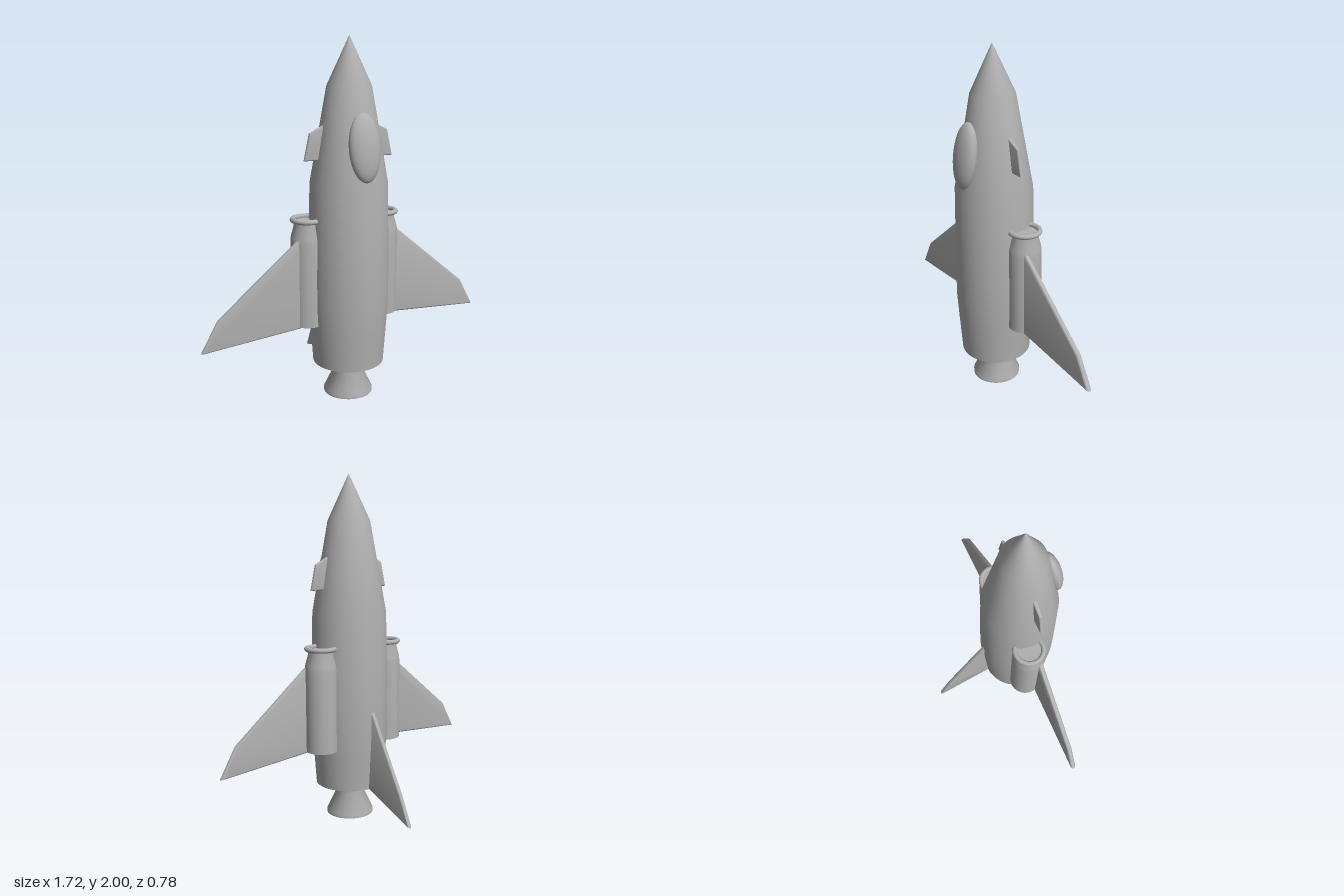
import * as THREE from 'three';
import { toCreasedNormals } from 'three/addons/utils/BufferGeometryUtils.js';

const AXIS_Z = 0.156;

export function createModel() {
  const model = new THREE.Group();
  model.name = 'rocketPlane';

  const hullGrey = new THREE.MeshStandardMaterial({ color: 0xb0b0b0 });
  hullGrey.name = 'hull grey';

  const add = (name, geometry, x, y, z) => {
    const mesh = new THREE.Mesh(geometry, hullGrey);
    mesh.name = name;
    mesh.position.set(x, y, z);
    model.add(mesh);
    return mesh;
  };

  // Turned part from [radius, height] pairs, listed from the bottom centre up
  const turned = (profile, segments = 64) =>
    toCreasedNormals(
      new THREE.LatheGeometry(profile.map(([r, y]) => new THREE.Vector2(r, y)), segments), 0.8);

  // Flat fin with rounded edges, centred on its own thickness
  const fin = (outline, thickness) => {
    const bevel = thickness * 0.45;
    const depth = thickness - 2 * bevel;
    const shape = new THREE.Shape(outline.map(([x, y]) => new THREE.Vector2(x, y)));
    const geometry = new THREE.ExtrudeGeometry(shape, {
      depth, bevelEnabled: true, bevelThickness: bevel,
      bevelSize: bevel, bevelOffset: -bevel, bevelSegments: 4,
    });
    geometry.translate(0, 0, -depth / 2);
    return toCreasedNormals(geometry, 0.7);
  };

  // Fuselage with pointed nose
  add('fuselage', turned([
    [0, 0.197], [0.2, 0.197], [0.214, 0.4], [0.224, 0.56], [0.223, 0.75],
    [0.214, 1.22], [0.121, 1.74], [0, 2],
  ]), 0, 0, AXIS_Z);

  // Hollow engine bell
  add('engineNozzle', turned([
    [0, 0.12], [0.07, 0.12], [0.128, 0], [0.138, 0.004], [0.138, 0.02],
    [0.083, 0.135], [0.1, 0.205],
  ]), 0, 0, AXIS_Z);

  // Cockpit canopy, leaning back along the nose
  const canopy = add('canopy', new THREE.SphereGeometry(1, 40, 28), 0, 1.43, 0.332);
  canopy.scale.set(0.09, 0.182, 0.05);
  canopy.rotation.x = -0.15;

  // Tail fin at the back
  const tail = add('tailFin', fin(
    [[0.02, 0.2], [0.042, 0.194], [0.392, 0.07], [0.317, 0.235], [0.074, 0.65], [0.02, 0.742]],
    0.025), 0, 0, 0);
  tail.rotation.y = Math.PI / 2;

  for (const [side, s] of [['left', 1], ['right', -1]]) {
    const mirror = (points) => points.map(([x, y]) => [s * x, y]);

    // Main wing
    add(side + 'Wing', fin(mirror(
      [[0.18, 0.44], [0.86, 0.388], [0.767, 0.555], [0.32, 0.922], [0.24, 0.985], [0.18, 0.985]]),
      0.03), 0, 0, AXIS_Z);

    // Small fore wing beside the cockpit
    add(side + 'Canard', fin(mirror(
      [[0.1, 1.355], [0.267, 1.355], [0.235, 1.5], [0.155, 1.54], [0.1, 1.565]]),
      0.021), 0, 0, AXIS_Z);

    // Side engine pod with a ring around its intake
    add(side + 'EnginePod', turned([
      [0, 0.44], [0.093, 0.44], [0.093, 0.91], [0.09, 0.94], [0.074, 1.0], [0.074, 1.025], [0, 1.025],
    ], 48), s * 0.231, 0, 0.115);
    const ring = add(side + 'IntakeRing',
      new THREE.TorusGeometry(0.081, 0.014, 16, 48), s * 0.231, 1.032, 0.115);
    ring.rotation.x = Math.PI / 2;
  }

  return model;
}
